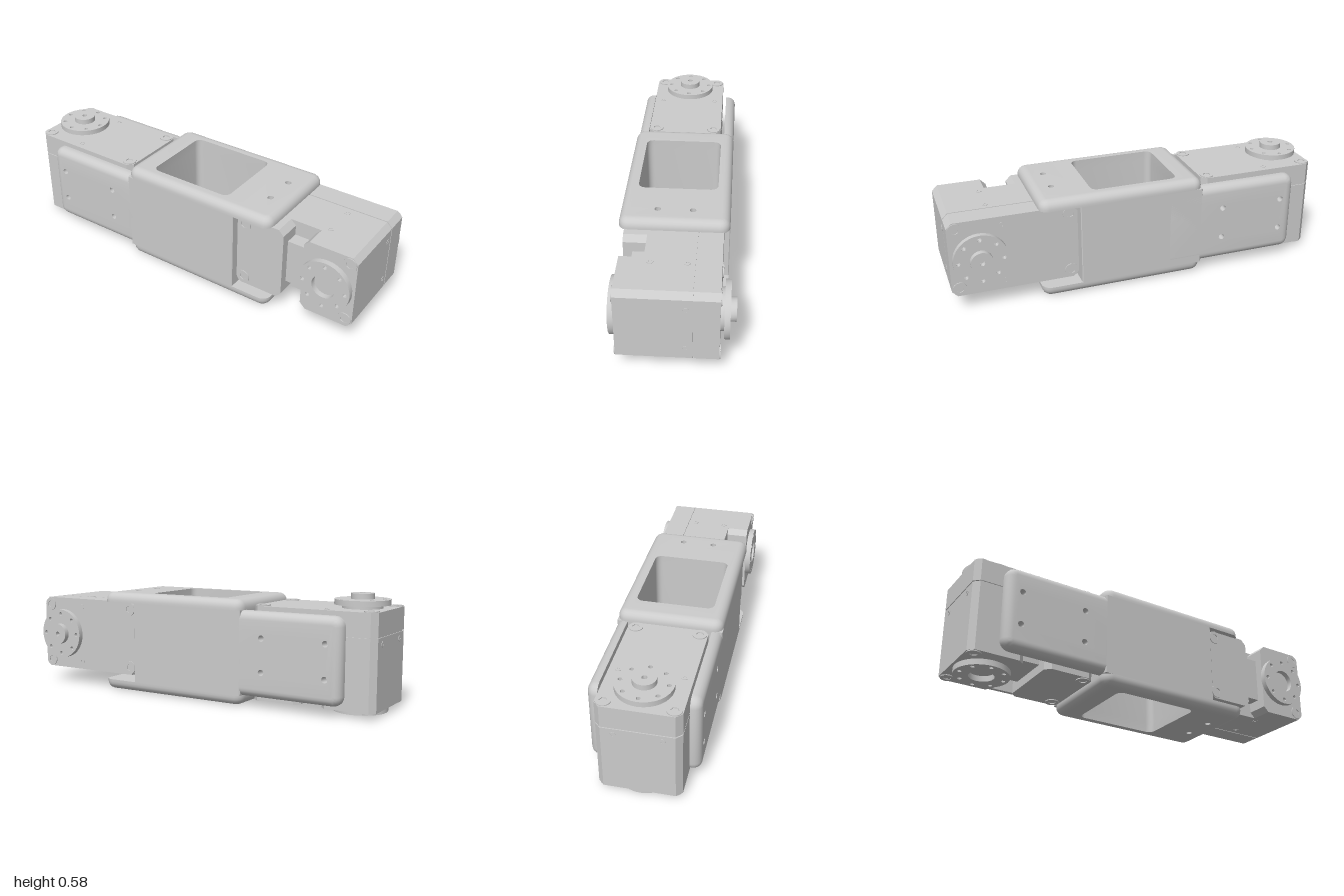
import * as THREE from 'three';
import { mergeGeometries, toCreasedNormals } from 'three/addons/utils/BufferGeometryUtils.js';

const mat = new THREE.MeshStandardMaterial({ color: 0xcccccc });

function add(parent, name, geo, x = 0, y = 0, z = 0) {
  const m = new THREE.Mesh(geo, mat);
  m.name = name;
  m.position.set(x, y, z);
  parent.add(m);
  return m;
}

// outline of a rounded rectangle, counter-clockwise
function roundRect(w, h, r, n = 5) {
  const pts = [];
  for (let q = 0; q < 4; q++) {
    const sx = q === 0 || q === 3 ? 1 : -1, sy = q < 2 ? 1 : -1;
    for (let i = 0; i <= n; i++) {
      const a = (q + i / n) * Math.PI / 2;
      pts.push(new THREE.Vector2(sx * (w / 2 - r) + r * Math.cos(a), sy * (h / 2 - r) + r * Math.sin(a)));
    }
  }
  return pts;
}

function circle(x, y, r, n = 12) {
  return Array.from({ length: n }, (_, i) => new THREE.Vector2(
    x + r * Math.cos(i / n * 2 * Math.PI), y + r * Math.sin(i / n * 2 * Math.PI)));
}

function shapeOf(outline, holes) {
  const s = new THREE.Shape(outline);
  s.holes = holes.map(h => new THREE.Path(h));
  return s;
}

// extrude a plan (x, -z) upwards between two heights
function slab(outline, holes, y0, y1) {
  const g = new THREE.ExtrudeGeometry(shapeOf(outline, holes), { depth: y1 - y0, bevelEnabled: false });
  g.rotateX(-Math.PI / 2).translate(0, y0, 0);
  return toCreasedNormals(g, 0.6);
}

// strip of quads between two equal loops
function band(a, za, b, zb) {
  const p = [];
  a.forEach((_, i) => {
    const j = (i + 1) % a.length;
    p.push(a[i].x, a[i].y, za, a[j].x, a[j].y, za, b[j].x, b[j].y, zb);
    p.push(a[i].x, a[i].y, za, b[j].x, b[j].y, zb, b[i].x, b[i].y, zb);
  });
  return new THREE.BufferGeometry().setAttribute('position', new THREE.Float32BufferAttribute(p, 3));
}

// plate with flat inner face at z = 0 and a rounded outer rim at z = t
function roundedPlate(w, h, t, holes) {
  const corner = 0.05, rim = 0.042, steps = 5, parts = [];
  const cap = (outline, z, flip) => {
    const g = new THREE.ShapeGeometry(shapeOf(outline, holes)).toNonIndexed();
    g.deleteAttribute('uv');
    g.deleteAttribute('normal');
    if (flip) g.rotateX(Math.PI).scale(1, -1, 1);
    if (flip) { // mirrored back: reverse the corner order
      const a = g.attributes.position.array;
      g.scale(1, 1, 1);
      const d = new THREE.ShapeGeometry(shapeOf(outline, holes)).toNonIndexed().attributes.position.array;
      for (let i = 0; i < a.length; i += 9) for (let k = 0; k < 3; k++) {
        a[i + k] = d[i + k]; a[i + 3 + k] = d[i + 6 + k]; a[i + 6 + k] = d[i + 3 + k];
      }
    }
    parts.push(g.translate(0, 0, z));
  };
  let prev = roundRect(w, h, corner), pz = 0;
  cap(prev, 0, true);
  for (let i = 0; i <= steps; i++) {
    const a = i / steps * Math.PI / 2, inset = rim * (1 - Math.cos(a));
    const next = roundRect(w - 2 * inset, h - 2 * inset, corner - inset);
    const z = t - rim + rim * Math.sin(a);
    parts.push(band(prev, pz, next, z));
    prev = next; pz = z;
  }
  cap(prev, t, false);
  holes.forEach(hole => parts.push(band(hole, t, hole, 0)));
  const g = mergeGeometries(parts);
  g.computeVertexNormals();
  return toCreasedNormals(g, 0.6);
}

// rectangle with cut corners, spanning z0..z1
function cutRect(w, z0, z1, c) {
  const x = w / 2, a = -z1, b = -z0;
  return [[x - c, a], [x, a + c], [x, b - c], [x - c, b], [-x + c, b], [-x, b - c], [-x, a + c], [-x + c, a]]
    .map(p => new THREE.Vector2(...p));
}

// screw head with a hexagonal socket, facing +y
const screwGeo = (r, h) => mergeGeometries([
  slab(circle(0, 0, r, 16), [circle(0, 0, r * 0.55, 6)], 0, h),
  slab(circle(0, 0, r * 0.6, 6), [], 0, h * 0.2)]);

// actuator with its output axis along y, at z = -0.85
function actuator(name) {
  const g = new THREE.Group();
  g.name = name;
  add(g, 'cover', slab(cutRect(0.4, -1, -0.35, 0.028), [], 0.393, 0.508));
  add(g, 'seam', slab(cutRect(0.39, -0.995, -0.355, 0.028), [], 0.386, 0.394));
  add(g, 'body', slab(cutRect(0.4, -1, -0.35, 0.028), [], 0.147, 0.387));
  add(g, 'idlerHousing', slab(cutRect(0.4, -1, -0.72, 0.028), [], 0.032, 0.147));
  add(g, 'rearHousing', slab(cutRect(0.4, -0.61, -0.35, 0.028), [], 0.032, 0.147));
  add(g, 'neck', slab(cutRect(0.24, -0.73, -0.6, 0.001), [], 0.077, 0.15));

  // output and idler horns
  const bolts = Array.from({ length: 8 }, (_, i) =>
    circle(0.112 * Math.cos(i * Math.PI / 4), 0.112 * Math.sin(i * Math.PI / 4), 0.011, 8));
  const disc = circle(0, 0, 0.137, 32);
  add(g, 'outputHub', slab(circle(0, 0, 0.1, 24), [], 0.5, 0.527), 0, 0, -0.85);
  add(g, 'outputHorn', slab(disc, bolts, 0.525, 0.552), 0, 0, -0.85);
  add(g, 'outputBoss', slab(circle(0, 0, 0.057, 20), [circle(0, 0, 0.014, 10)], 0.55, 0.58), 0, 0, -0.85);
  add(g, 'idlerHorn', slab(disc, [...bolts, circle(0, 0, 0.062, 24)], 0.003, 0.033), 0, 0, -0.85);

  // corner screws on both faces, smaller ones on the remaining faces
  const big = screwGeo(0.036, 0.006), small = screwGeo(0.015, 0.003);
  for (const x of [-0.16, 0.16]) {
    for (const z of [-0.96, -0.39]) {
      add(g, 'cornerScrew', big, x, 0.507, z);
      add(g, 'cornerScrew', big, x, 0.033, z).rotation.x = Math.PI;
    }
    add(g, 'coverScrew', small, x * 0.97, 0.507, -0.73);
    for (const y of [0.18, 0.35]) {
      add(g, 'sideScrew', small, Math.sign(x) * 0.199, y, -0.78).rotation.z = -Math.sign(x) * Math.PI / 2;
    }
    add(g, 'endScrew', small, x * 0.71, 0.355, -0.999).rotation.x = -Math.PI / 2;
  }
  return g;
}

export function createModel() {
  const model = new THREE.Group();
  const cx = -0.0225, cy = 0.2725, size = 0.535, t = 0.054;

  // bracket: middle block with a window, and two pairs of fork plates
  const bracket = new THREE.Group();
  bracket.name = 'bracket';
  model.add(bracket);
  const win = roundRect(0.4, 0.46, 0.035).map(p => p.clone().add(new THREE.Vector2(0, -0.03)));
  const block = roundRect(size, 0.66, 0.004, 1).map(p => p.clone().add(new THREE.Vector2(0, -0.01)));
  add(bracket, 'middleBlock', slab(block, [win], 0.058, 0.487), cx, 0, 0);
  for (const s of [1, -1]) {
    // upper and lower plates reach forwards
    const zc = 0.111, v = z => -s * (z - zc);
    const winHole = roundRect(0.4, 0.46, 0.035).map(p => new THREE.Vector2(p.x, p.y + v(0.03)));
    const holes = [winHole, circle(-0.085, v(0.44), 0.016), circle(0.085, v(0.44), 0.016)];
    const plate = roundedPlate(size, 0.87, t, holes);
    add(bracket, s > 0 ? 'upperPlate' : 'lowerPlate', plate, cx, cy + s * (size / 2 - t), zc)
      .rotation.x = -s * Math.PI / 2;

    // left and right plates reach backwards
    const sc = -0.48, u = z => -s * (z - sc), sideHoles = [];
    for (const z of [-0.44, -0.78]) for (const y of [-0.085, 0.085]) sideHoles.push(circle(u(z), y, 0.016));
    const side = roundedPlate(0.76, 0.43, t, sideHoles);
    add(bracket, s > 0 ? 'leftPlate' : 'rightPlate', side, cx + s * (size / 2 - t), cy, sc)
      .rotation.y = s * Math.PI / 2;
  }

  // rear actuator turns about y, front actuator about x
  const rear = actuator('rearActuator');
  rear.position.x = -0.03;
  const front = actuator('frontActuator');
  front.applyMatrix4(new THREE.Matrix4().makeBasis(
    new THREE.Vector3(0, 1, 0), new THREE.Vector3(1, 0, 0), new THREE.Vector3(0, 0, -1)).setPosition(-0.292, 0.29, 0));
  model.add(rear, front);
  return model;
}
